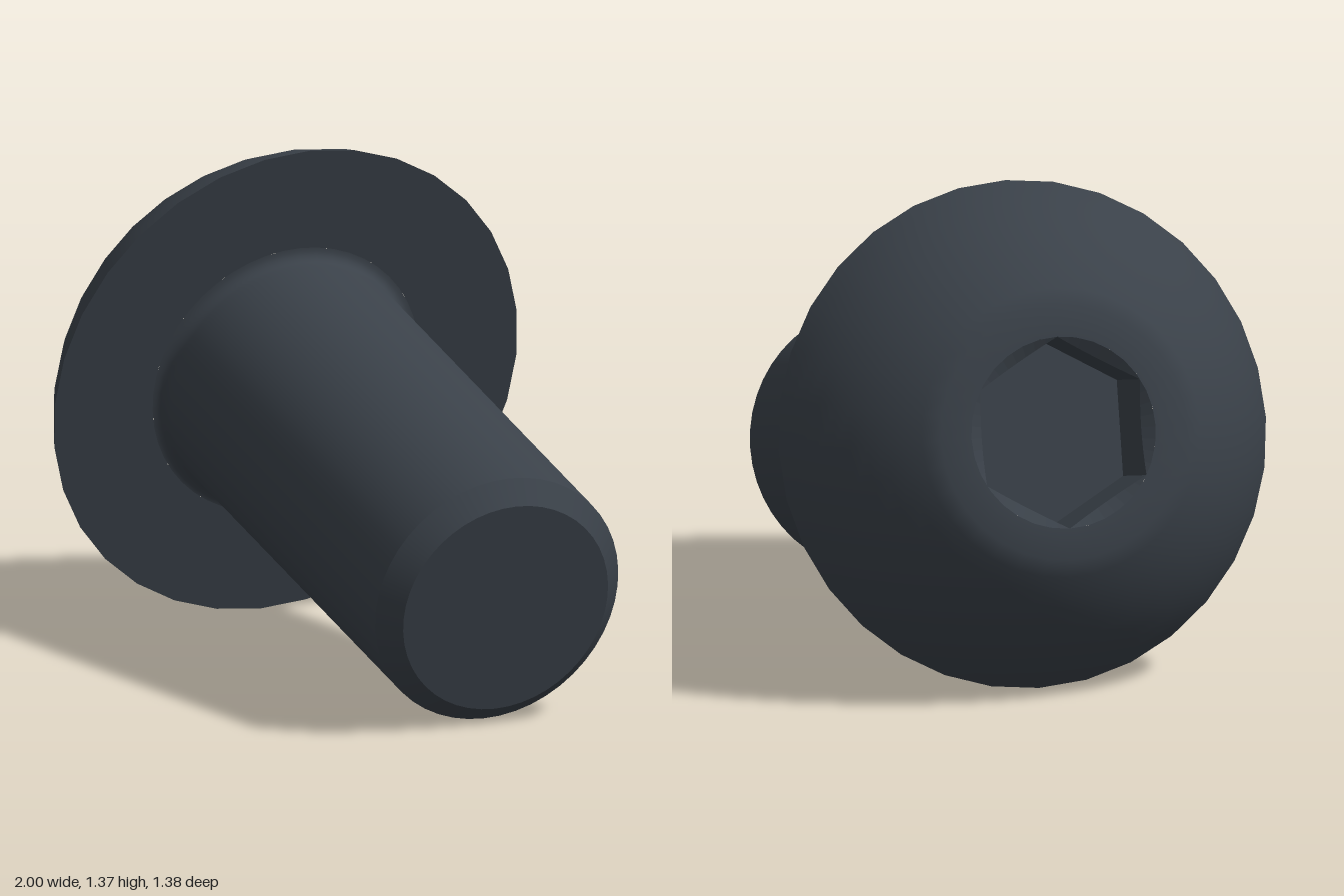
import * as THREE from 'three';

const HEAD_R = 0.704, HEAD_H = 0.406, FLAT_R = 0.354;  // domed head
const SHAFT_R = 0.369, LENGTH = 1.48, CHAMFER = 0.06;  // shaft
const SOCKET_R = 0.266, SOCKET_DEPTH = 0.23;           // hexagonal socket, corner radius

export function createModel() {
  const steel = new THREE.MeshStandardMaterial({ color: 0x3a4149 });
  steel.name = 'darkSteel';

  const screw = new THREE.Group();
  screw.name = 'screw';
  const add = (name, geometry) => {
    const mesh = new THREE.Mesh(geometry, steel);
    mesh.name = name;
    screw.add(mesh);
  };
  // Each lathe is one smooth stretch of the profile, so edges between them stay sharp
  const lathe = (name, points, segments) =>
    add(name, new THREE.LatheGeometry(points.map(p => new THREE.Vector2(...p)), segments));

  // Shaft: end face, chamfer, cylinder with a small fillet under the head
  const tipR = SHAFT_R - 0.058, fillet = 0.035;
  lathe('shaftEnd', [[0, -LENGTH], [tipR, -LENGTH]], 48);
  lathe('shaftChamfer', [[tipR, -LENGTH], [SHAFT_R, -LENGTH + CHAMFER]], 48);
  const shaft = [[SHAFT_R, -LENGTH + CHAMFER], [SHAFT_R, -fillet - 0.02]];
  for (let i = 0; i <= 5; i++) {
    const a = (i / 5) * Math.PI / 2;
    shaft.push([SHAFT_R + fillet * (1 - Math.cos(a)), -fillet + fillet * Math.sin(a)]);
  }
  lathe('shaft', shaft, 48);

  // Head: flat underside and a spherical dome running into a flat top
  lathe('headUnderside', [[SHAFT_R + fillet, 0], [HEAD_R, 0]], 32);
  const drop = (HEAD_R ** 2 - FLAT_R ** 2 - HEAD_H ** 2) / (2 * HEAD_H);
  const domeR = Math.hypot(HEAD_R, drop);
  const a0 = Math.atan2(drop, HEAD_R), a1 = Math.atan2(HEAD_H + drop, FLAT_R);
  const dome = [];
  for (let i = 0; i <= 10; i++) {
    const a = a0 + (a1 - a0) * i / 10;
    dome.push([domeR * Math.cos(a), domeR * Math.sin(a) - drop]);
  }
  dome.push([SOCKET_R, HEAD_H]);
  lathe('headDome', dome, 32);

  // Socket: conical lead-in cut by six flat walls, and a flat floor
  const perSide = 8, count = 6 * perSide, step = Math.PI * 2 / count;
  const floorY = HEAD_H - SOCKET_DEPTH;
  const at = (r, y, a) => [r * Math.sin(a), y, r * Math.cos(a)];
  const ring = i => {
    const a = i * step;
    const off = (i % perSide) * step - Math.PI / 6;
    const r = SOCKET_R * Math.cos(Math.PI / 6) / Math.cos(off);
    return {
      top: at(SOCKET_R, HEAD_H, a),
      lip: at(r, HEAD_H - (SOCKET_R - r) * 0.6, a),
      base: at(r, floorY, a),
    };
  };
  const leadIn = [], walls = [], floor = [];
  const quad = (list, a, b, c, d) => list.push(...a, ...b, ...c, ...a, ...c, ...d);
  for (let i = 0; i < count; i++) {
    const p = ring(i), q = ring((i + 1) % count);
    quad(leadIn, p.top, q.top, q.lip, p.lip);
    quad(walls, p.lip, q.lip, q.base, p.base);
    floor.push(0, floorY, 0, ...p.base, ...q.base);
  }
  const faces = (name, list) => {
    const g = new THREE.BufferGeometry();
    g.setAttribute('position', new THREE.Float32BufferAttribute(list, 3));
    g.computeVertexNormals();
    add(name, g);
  };
  faces('socketLeadIn', leadIn);
  faces('socketWalls', walls);
  faces('socketFloor', floor);

  // Lay the screw over: local +y points out of the head, the shaft slopes down and forward
  const out = new THREE.Vector3(-0.952, 0.229, -0.205).normalize();
  const side = new THREE.Vector3(out.z, 0, -out.x).normalize();
  const basis = new THREE.Matrix4().makeBasis(side, out, side.clone().cross(out));
  screw.quaternion.setFromRotationMatrix(basis);
  screw.position.set(-0.505, 0.685, 0);

  const model = new THREE.Group();
  model.name = 'buttonHeadScrew';
  model.add(screw);
  return model;
}
